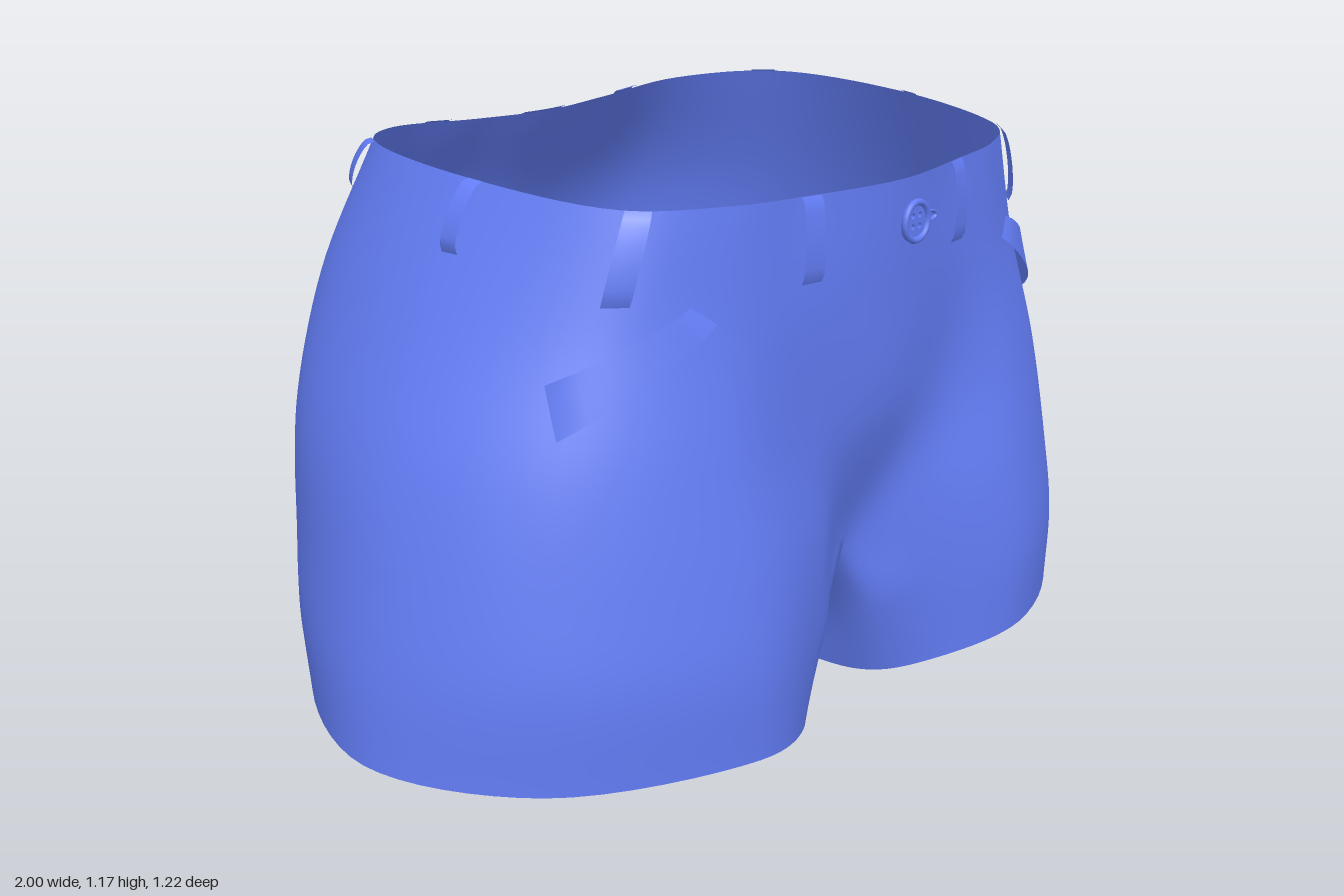
import * as THREE from 'three';
import { mergeGeometries, mergeVertices } from 'three/addons/utils/BufferGeometryUtils.js';

const V = (x, y, z) => new THREE.Vector3(x, y, z);
const mirrored = p => V(-p.x, p.y, p.z);
const cloth = new THREE.MeshStandardMaterial({ color: 0x637df6, side: THREE.DoubleSide });

// Half section as [x, z] pairs from front centre, round the side, to back centre;
// the height is one level or one value per point
const level = (y, xz) => xz.map(([x, z], j) => V(x, y[j] ?? y, z));
const waist = level([1.12, 1.12, 1.125, 1.13, 1.16, 1.18, 1.17, 1.155, 1.15],
  [[0, .575], [.25, .535], [.42, .505], [.6, .39], [.675, .08], [.62, -.23], [.44, -.38], [.2, -.385], [0, -.37]]);
const hip = level(.9,
  [[0, .565], [.25, .54], [.47, .505], [.68, .38], [.795, .06], [.71, -.3], [.47, -.52], [.25, -.55], [0, -.52]]);
const seat = level(.65,
  [[0, .545], [.22, .53], [.48, .545], [.77, .39], [.9, .06], [.79, -.3], [.53, -.535], [.28, -.61], [0, -.568]]);
const thigh = level([.36, .42, .42, .42, .42, .42, .42, .42, .38],
  [[0, .46], [.17, .53], [.46, .59], [.82, .4], [.957, .08], [.83, -.27], [.56, -.5], [.29, -.59], [0, -.48]]);
const hem = level([.015, .04, .07, .075, .1, .14, .15, .09, .07],
  [[.13, .44], [.24, .545], [.45, .605], [.84, .41], [1, .1], [.87, -.2], [.61, -.37], [.38, -.42], [.18, -.34]]);
// Inner leg, back to front: crotch seam and hem
const crotchSeam = level([.31, .28, .29], [[0, -.3], [0, 0], [0, .28]]);
const innerHem = level([.085, .08, .02], [[.1, -.18], [.085, .02], [.1, .27]]);

// The leg section halfway down, slightly rounded outwards
const midLeg = (top, bottom, dx) => top.map((p, j) =>
  p.clone().lerp(bottom[j], .5).multiply(V(1, 1, 1.02)).add(V(dx, 0, 0)));

const CROTCH = 3;
const outer = [waist, hip, seat, thigh, midLeg(thigh, hem, .008), hem];
const innerMid = midLeg(crotchSeam, innerHem, .025);
const outerColumns = waist.map((_, j) => new THREE.CatmullRomCurve3(outer.map(r => r[j])));
const innerColumns = crotchSeam.map((p, i) =>
  new THREE.CatmullRomCurve3([mirrored(innerMid[i]), p, innerMid[i], innerHem[i]]));

// Section curves at one height; the ends are tangent to the other half or to the inner leg
const cache = new Map();
function section(row) {
  if (cache.has(row)) return cache.get(row);
  const o = outerColumns.map(c => c.getPoint(row / 5));
  if (row <= CROTCH) o[0].x = o[8].x = 0;
  const k = Math.max(0, row - CROTCH), w = Math.min(1, k);
  const n = innerColumns.map(c => c.getPoint((1 + k) / 3));
  const first = mirrored(o[1]).lerp(n[2], w), last = mirrored(o[7]).lerp(n[0], w);
  const s = {
    outside: new THREE.CatmullRomCurve3([first, ...o, last]),
    inside: new THREE.CatmullRomCurve3([o[7], o[8], ...n, o[0], o[1]]),
  };
  cache.set(row, s);
  return s;
}

// Point on the left half: u 0..8 runs round the outside, 8..12 along the inner leg;
// above the crotch, u past 8 carries on to the right half
function surface(row, u) {
  if (row < CROTCH && u > 8) return mirrored(surface(row, 16 - u));
  const s = section(row);
  const p = u <= 8 ? s.outside.getPoint((u + 1) / 10) : s.inside.getPoint((u - 7) / 6);
  if (row <= CROTCH && (u === 0 || u >= 8)) p.x = 0;
  return p;
}

// Point lifted off the cloth along its outward normal
function lifted(row, u, h) {
  const e = .02, r = Math.max(row, e);
  const down = surface(r + e, u).sub(surface(r - e, u));
  const along = surface(r, u + e).sub(surface(r, u - e));
  return surface(row, u).addScaledVector(down.cross(along).normalize(), h);
}

// Grid surface from a rule; side -1 mirrors it to the other half
function grid(rows, cols, rule, side) {
  const pos = [], index = [];
  for (let r = 0; r <= rows; r++) for (let c = 0; c <= cols; c++) {
    const p = rule(r / rows, c / cols);
    pos.push(p.x * side, p.y, p.z);
    if (r === rows || c === cols) continue;
    const a = r * (cols + 1) + c, b = a + 1, d = a + cols + 1, e = d + 1;
    if (side > 0) index.push(a, d, b, b, d, e);
    else index.push(a, b, d, b, e, d);
  }
  const g = new THREE.BufferGeometry();
  g.setAttribute('position', new THREE.Float32BufferAttribute(pos, 3));
  g.setIndex(index);
  return g;
}

export function createModel() {
  const group = new THREE.Group();
  const add = (name, geometry, parent = group) => {
    const mesh = new THREE.Mesh(geometry, cloth);
    mesh.name = name;
    parent.add(mesh);
    return mesh;
  };

  // Seat and legs as one continuous cloth
  const parts = [];
  for (const side of [1, -1]) {
    parts.push(grid(24, 64, (r, c) => surface(r * CROTCH, c * 8), side));
    parts.push(grid(16, 96, (r, c) => surface(CROTCH + r * 2, c * 12), side));
  }
  const body = mergeVertices(mergeGeometries(parts), 1e-4);
  body.computeVertexNormals();
  add('shortsBody', body);

  // Strip over the cloth between four [row, u] corners, bulging off it in the middle
  const strip = (name, [a, b, c, d], height, side) => {
    const mix = THREE.MathUtils.lerp;
    const g = grid(12, 6, (r, t) => lifted(
      mix(mix(a[0], b[0], t), mix(d[0], c[0], t), r),
      mix(mix(a[1], b[1], t), mix(d[1], c[1], t), r),
      .004 + height * Math.sqrt(4 * r * (1 - r))), side);
    g.computeVertexNormals();
    add(name, g);
  };
  const beltLoop = (name, u, w, end, height, side) =>
    strip(name, [[0, u - w], [0, u + w], [end, u + w], [end, u - w]], height, side);

  for (const side of [1, -1]) {
    // Belt loops: position round the waist, half width, lower end, height
    beltLoop('frontBeltLoop', .95, .11, .76, .012, side);
    beltLoop('cornerBeltLoop', 2.85, .11, .74, .016, side);
    beltLoop('sideBeltLoop', 3.93, .055, .5, .022, side);
    beltLoop('backSideBeltLoop', 5.12, .11, .34, .018, side);
    beltLoop('backBeltLoop', 6.62, .13, .36, .018, side);
    // Slanted pocket welt
    strip('pocketWelt', [[.94, 2], [.78, 2.25], [1.3, 3.18], [1.68, 3.05]], .016, side);
  }
  beltLoop('centreBackBeltLoop', 8, .32, .42, .014, 1);

  // Waist button with rim and four thread holes
  const button = new THREE.Group();
  button.name = 'button';
  button.position.set(.05, 1.03, .568);
  const disc = new THREE.Shape().absarc(0, 0, .042, 0, Math.PI * 2);
  for (const x of [-.011, .011]) for (const y of [-.011, .011])
    disc.holes.push(new THREE.Path().absarc(x, y, .006, 0, Math.PI * 2, true));
  add('buttonDisc', new THREE.ExtrudeGeometry(disc, { depth: .01, bevelEnabled: false, curveSegments: 20 }), button);
  add('buttonRim', new THREE.TorusGeometry(.038, .007, 8, 32), button).position.z = .01;
  group.add(button);

  // Buttonhole stitching beside the button
  const hole = add('buttonhole', new THREE.TorusGeometry(.025, .006, 8, 24));
  hole.scale.set(1, .4, 1);
  hole.position.set(.108, 1.03, .565);

  return group;
}
